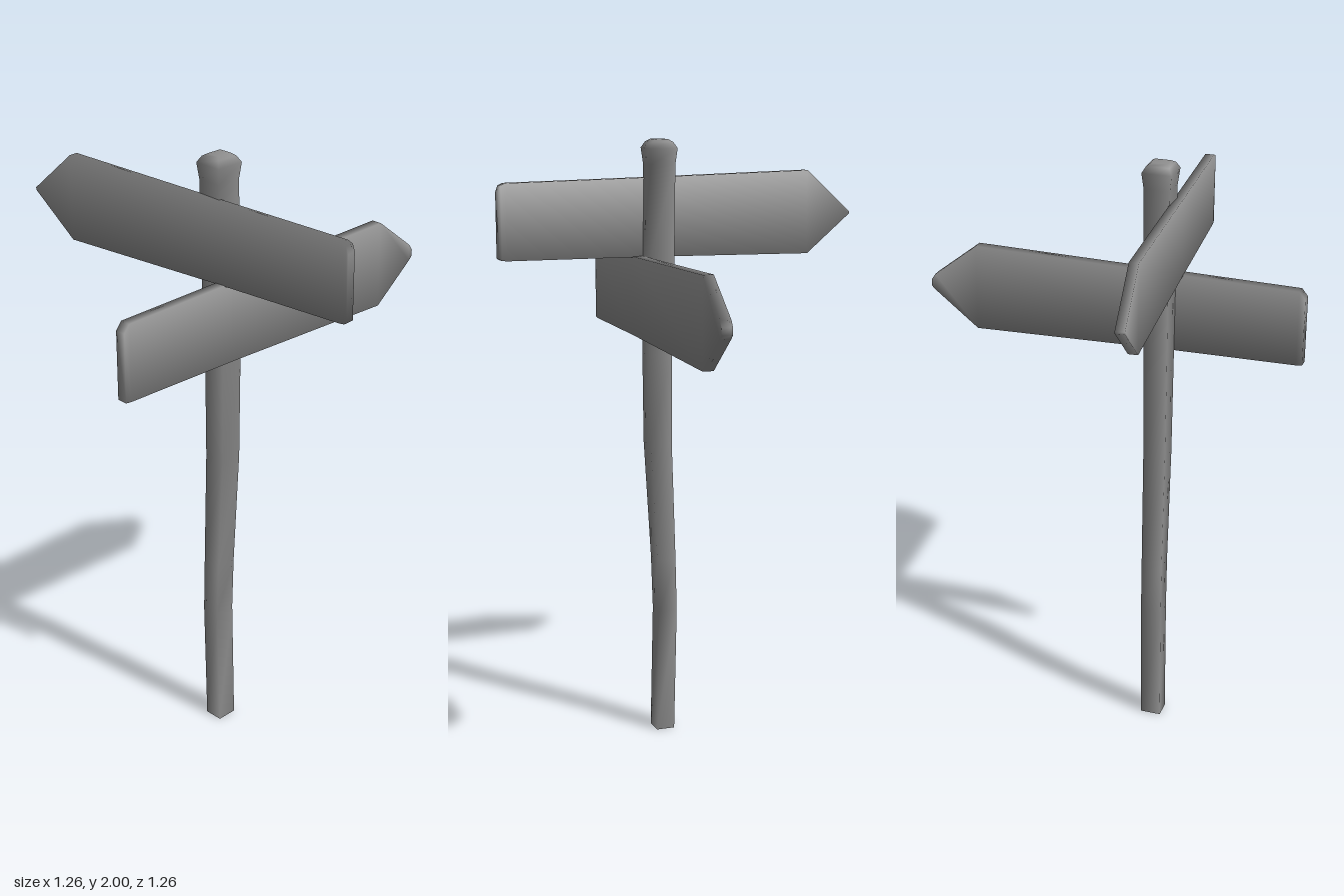
import * as THREE from 'three';

const material = new THREE.MeshStandardMaterial({ color: 0x8f8f8f });

// Skin a list of four-cornered rings (counter-clockwise about the direction of travel).
// Shared vertices keep the shading smooth; the far end is always closed.
function loft(rings, closeStart) {
  const last = rings.length - 1;
  const index = [];
  for (let k = 0; k < last; k++) {
    for (let i = 0; i < 4; i++) {
      const a = k * 4 + i;
      const b = k * 4 + (i + 1) % 4;
      index.push(a, b, b + 4, a, b + 4, a + 4);
    }
  }
  const end = last * 4;
  index.push(end, end + 1, end + 2, end, end + 2, end + 3);
  if (closeStart) index.push(0, 2, 1, 0, 3, 2);
  const geometry = new THREE.BufferGeometry().setFromPoints(rings.flat());
  geometry.setIndex(index);
  geometry.computeVertexNormals();
  return geometry;
}

// Square ring of the post: height, centre x, centre z, half width, half depth
function postRing([y, x, z, w, d]) {
  return [[1, 1], [1, -1], [-1, -1], [-1, 1]].map(([sx, sz]) =>
    new THREE.Vector3(x + sx * w, y, z + sz * d));
}

// Arrow board along x from sections [x, bottom, top], with softly shaded edges and ends
function boardGeometry(sections, thickness) {
  const corners = [[-1, -1], [1, -1], [1, 1], [-1, 1]];
  const geometry = loft(sections.map(([x, bottom, top]) =>
    corners.map(([up, side]) => new THREE.Vector3(x, up > 0 ? top : bottom, side * thickness / 2))), true);
  const normal = geometry.attributes.normal;
  const v = new THREE.Vector3();
  sections.forEach((section, k) => corners.forEach(([up, side], i) => {
    const along = k === 0 ? -0.5 : k === sections.length - 1 ? 0.5 : 0;
    v.set(along, up * 0.5, side).normalize();
    normal.setXYZ(k * 4 + i, v.x, v.y, v.z);
  }));
  return geometry;
}

export function createModel() {
  const model = new THREE.Group();
  const add = (name, geometry) => {
    const mesh = new THREE.Mesh(geometry, material);
    mesh.name = name;
    model.add(mesh);
    return mesh;
  };

  // Slightly crooked square post with a flared, chamfered top and an open foot
  add('post', loft([
    [0, 0.086, 0.175, 0.031, 0.034],
    [0.42, 0.076, 0.174, 0.031, 0.035],
    [0.6, 0.081, 0.173, 0.032, 0.035],
    [1.0, 0.099, 0.172, 0.037, 0.037],
    [1.3, 0.1, 0.171, 0.038, 0.039],
    [1.62, 0.094, 0.171, 0.042, 0.041],
    [1.92, 0.089, 0.172, 0.041, 0.042],
    [1.972, 0.089, 0.172, 0.047, 0.048],
    [1.992, 0.089, 0.172, 0.035, 0.037],
    [2.0, 0.089, 0.172, 0.022, 0.026],
  ].map(postRing), false));

  // Upper board, pointing to the right
  const upper = add('upperArrowBoard', boardGeometry([
    [-0.631, 1.734, 1.742],
    [-0.47, 1.604, 1.885],
    [0.13, 1.617, 1.875],
    [0.605, 1.623, 1.869],
    [0.622, 1.625, 1.862],
    [0.63, 1.63, 1.84],
  ], 0.03));
  upper.position.z = 0.23;
  upper.rotation.y = 0.075;

  // Lower board, pointing backwards
  const lower = add('lowerArrowBoard', boardGeometry([
    [-0.631, 1.473, 1.495],
    [-0.618, 1.46, 1.515],
    [-0.47, 1.343, 1.631],
    [0.2, 1.36, 1.62],
    [0.612, 1.365, 1.613],
    [0.632, 1.367, 1.588],
  ], 0.035));
  lower.position.x = 0.155;
  lower.rotation.y = -Math.PI / 2 - 0.006;

  return model;
}
